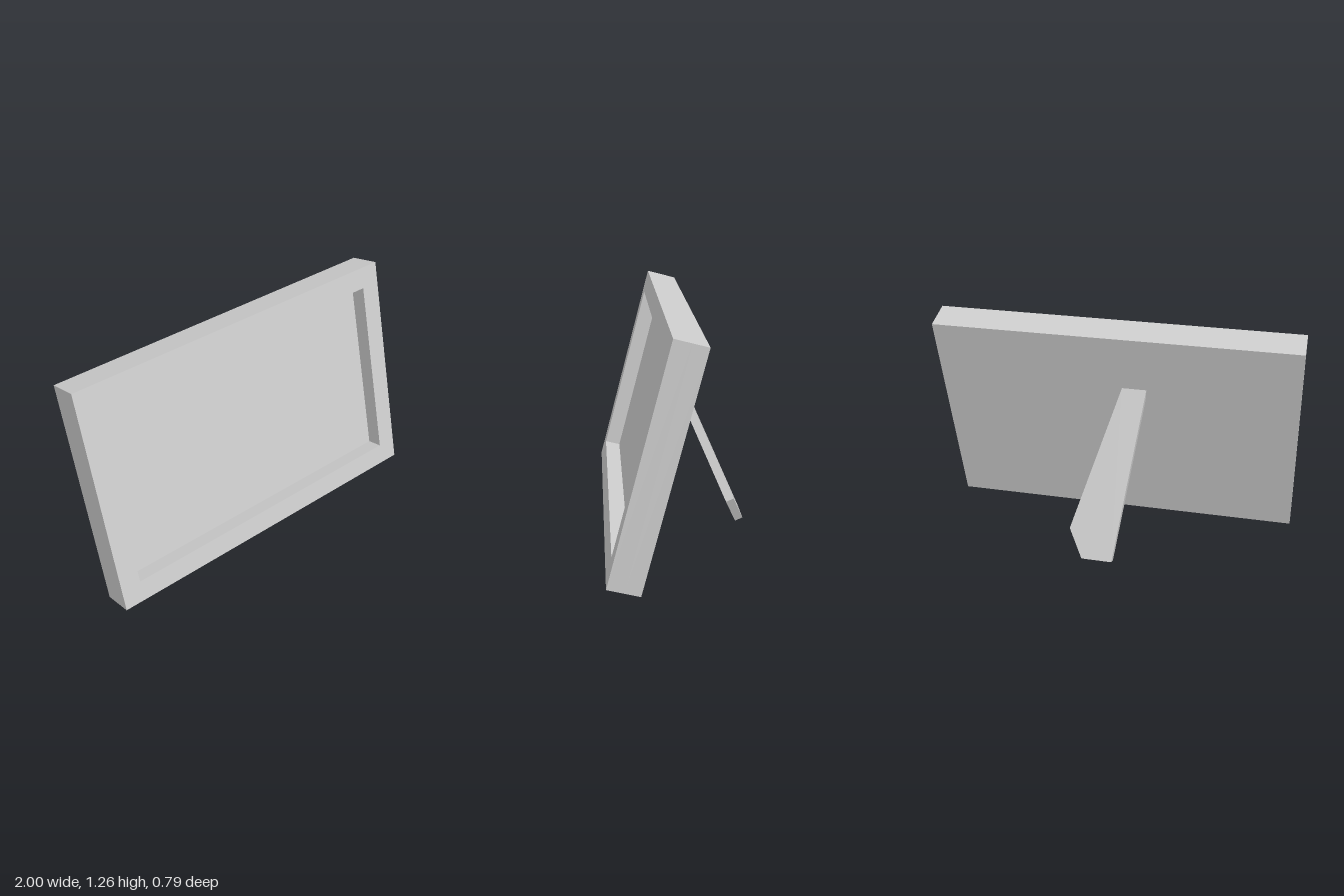
import * as THREE from 'three';

const material = new THREE.MeshStandardMaterial({ color: 0xcccccc });

function polygon(points, Type = THREE.Shape) {
  return new Type(points.map(([x, y]) => new THREE.Vector2(x, y)));
}

function rectangle(x, y0, y1, Type) {
  return polygon([[-x, y0], [x, y0], [x, y1], [-x, y1]], Type);
}

function slab(name, shape, depth, z = 0) {
  const geometry = new THREE.ExtrudeGeometry(shape, { depth, bevelEnabled: false });
  geometry.translate(0, 0, z);
  const mesh = new THREE.Mesh(geometry, material);
  mesh.name = name;
  return mesh;
}

export function createModel() {
  const model = new THREE.Group();
  model.name = 'pictureFrame';

  const height = 1.257, margin = 0.119, backDepth = 0.083, rimDepth = 0.09;

  // Leaning frame: solid back panel with a rectangular rim in front of it
  const frame = new THREE.Group();
  frame.name = 'frame';
  const rim = rectangle(1, 0, height);
  rim.holes.push(rectangle(0.887, margin, height - margin, THREE.Path));
  frame.add(
    slab('backPanel', rectangle(1, 0, height), backDepth),
    slab('frameRim', rim, rimDepth, backDepth)
  );
  frame.position.set(0, 0.005, 0.228);
  frame.rotation.x = -0.2575;
  model.add(frame);

  // Rear easel leg: tapered strip with a clipped foot, its top sunk into the back
  const leg = slab('easelLeg', polygon([
    [-0.06, 0], [0.11, 0], [0.19, 0.163], [-0.037, 0.964], [-0.172, 0.964]
  ]), 0.046);
  leg.position.set(0, 0.019, -0.393);
  leg.rotation.x = 0.408;
  model.add(leg);

  return model;
}
